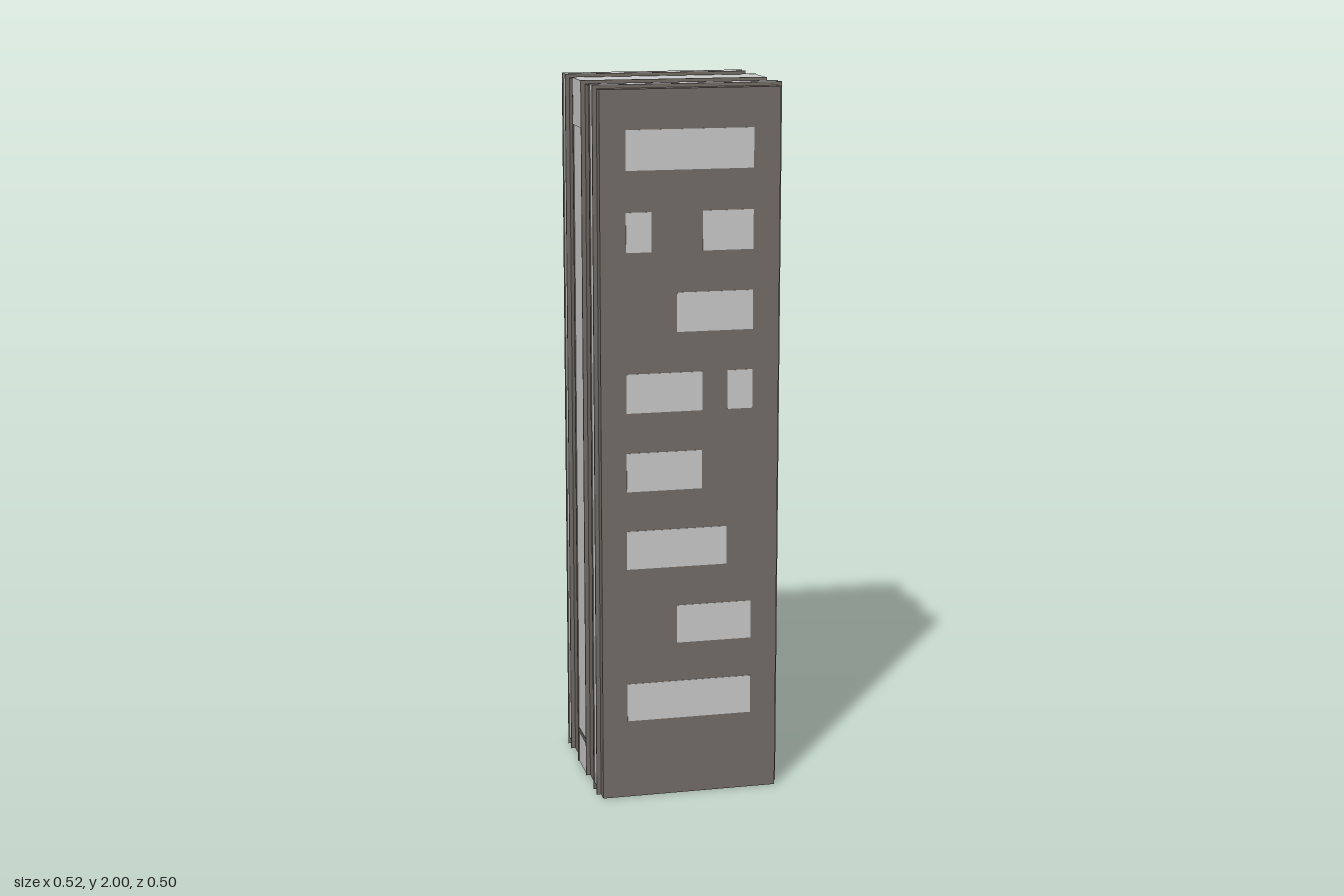
import * as THREE from 'three';

const dark = new THREE.MeshStandardMaterial({ color: 0x746d67 });
const light = new THREE.MeshStandardMaterial({ color: 0xcccccc });

function box(parent, name, material, [x0, x1], [y0, y1], [z0, z1]) {
  const mesh = new THREE.Mesh(new THREE.BoxGeometry(x1 - x0, y1 - y0, z1 - z0), material);
  mesh.position.set((x0 + x1) / 2, (y0 + y1) / 2, (z0 + z1) / 2);
  mesh.name = name;
  parent.add(mesh);
  return mesh;
}

// Upside-down U that wraps over both sides and the roof
function hoop(parent, name, material, halfWidth, bottom, top, [z0, z1]) {
  const inX = 0.249, inY = 1.985;
  const points = [
    [-halfWidth, bottom], [-inX, bottom], [-inX, inY], [inX, inY],
    [inX, bottom], [halfWidth, bottom], [halfWidth, top], [-halfWidth, top],
  ].map(([x, y]) => new THREE.Vector2(x, y));
  const geometry = new THREE.ExtrudeGeometry(new THREE.Shape(points), { depth: z1 - z0, bevelEnabled: false });
  const mesh = new THREE.Mesh(geometry, material);
  mesh.position.z = z0;
  mesh.name = name;
  parent.add(mesh);
}

// Light strip held between two thin dark rails
function band(name, z0, z1, bottom) {
  const group = new THREE.Group();
  group.name = name;
  const rail = 0.005;
  hoop(group, 'railBack', dark, 0.262, 0, 2, [z0, z0 + rail]);
  hoop(group, 'railFront', dark, 0.262, 0, 2, [z1 - rail, z1]);
  hoop(group, 'glazing', light, 0.259, bottom, 1.999, [z0 + rail, z1 - rail]);
  return group;
}

// Lit windows on a five-column grid, one string per floor from the top
function windows(name, rows) {
  const group = new THREE.Group();
  group.name = name;
  const cell = 0.071, left = -0.179, pitch = 0.2212;
  rows.forEach((row, i) => {
    for (const run of row.matchAll(/1+/g)) {
      const x0 = left + run.index * cell;
      const y1 = 1.882 - i * pitch;
      box(group, 'window', light, [x0, x0 + run[0].length * cell], [y1 - 0.109, y1], [0.245, 0.251]);
    }
  });
  return group;
}

export function createModel() {
  const model = new THREE.Group();
  model.name = 'towerBlock';

  box(model, 'body', dark, [-0.25, 0.25], [0, 1.99], [-0.25, 0.25]);

  // Bands around the sides and roof
  model.add(band('backBand', -0.217, -0.168, 0.02));
  model.add(band('frontBand', 0.167, 0.216, 0.02));
  const centre = band('centreBand', -0.063, 0.061, 0);
  model.add(centre);

  // Base joint and upper cap on each side of the centre band
  for (const s of [-1, 1]) {
    const span = (a, b) => (s > 0 ? [a, b] : [-b, -a]);
    box(centre, 'baseJoint', dark, span(0.25, 0.261), [0.094, 0.106], [-0.06, 0.058]);
    box(centre, 'sideCap', light, span(0.25, 0.2615), [1.87, 1.999], [-0.058, 0.056]);
  }

  // Front and back windows
  model.add(windows('frontWindows',
    ['11111', '10011', '00111', '11101', '11100', '11110', '00111', '11111']));
  const back = windows('backWindows',
    ['11011', '00110', '11100', '00111', '00100', '11111', '11100', '00111']);
  back.rotation.y = Math.PI;
  model.add(back);

  return model;
}
